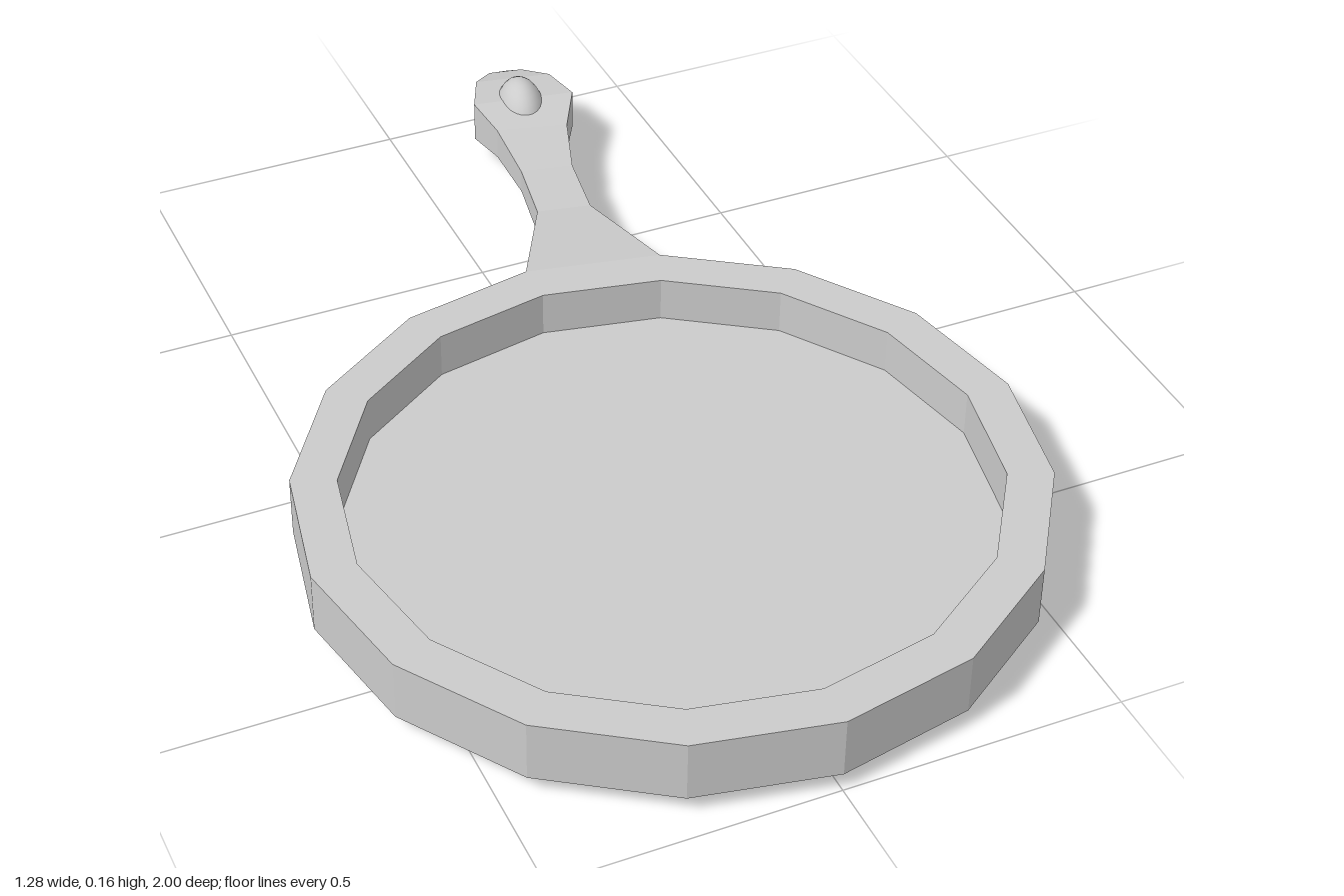
import * as THREE from 'three';

const material = (flatShading) => new THREE.MeshStandardMaterial({ color: 0xcccccc, flatShading });

function part(name, geometry, flat) {
  const mesh = new THREE.Mesh(geometry, material(flat));
  mesh.name = name;
  return mesh;
}

// Joins four-cornered cross-sections into a faceted, capped solid
function loft(sections) {
  const out = [];
  const quad = (a, b, c, d) => out.push(...a, ...b, ...c, ...a, ...c, ...d);
  const rings = sections.map(([lx, lz, rx, rz, y0, y1]) => [
    [lx, y0, lz], [rx, y0, rz], [rx, y1, rz], [lx, y1, lz],
  ]);
  for (let i = 0; i < rings.length - 1; i++) {
    for (let k = 0; k < 4; k++) {
      const n = (k + 1) % 4;
      quad(rings[i][n], rings[i][k], rings[i + 1][k], rings[i + 1][n]);
    }
  }
  quad(...rings[0]);
  quad(...rings[rings.length - 1].slice().reverse());
  const geometry = new THREE.BufferGeometry();
  geometry.setAttribute('position', new THREE.Float32BufferAttribute(out, 3));
  geometry.computeVertexNormals();
  return geometry;
}

export function createModel() {
  const group = new THREE.Group();
  group.name = 'pan';

  // Shallow sixteen-sided dish: base, outer wall, rim, inner wall, floor
  const profile = [
    [0, 0.035], [0.64, 0.035], [0.64, 0.147], [0.56, 0.147], [0.56, 0.063], [0, 0.063],
  ].map(([r, y]) => new THREE.Vector2(r, y));
  const dish = part('dish', new THREE.LatheGeometry(profile, 16), true);
  dish.position.z = 0.36;
  group.add(dish);

  // Handle sections: edge at -x (x, z), edge at +x (x, z), bottom, top
  group.add(part('handle', loft([
    [0, -0.28, 0.245, -0.231, 0.035, 0.147],
    [0.11, -0.49, 0.21, -0.47, 0.066, 0.116],
    [0.135, -0.63, 0.233, -0.61, 0.068, 0.114],
    [0.142, -0.77, 0.275, -0.735, 0.06, 0.122],
    [0.13, -0.86, 0.325, -0.825, 0.052, 0.132],
    [0.17, -0.95, 0.315, -0.92, 0.06, 0.122],
    [0.215, -0.993, 0.28, -0.98, 0.075, 0.107],
    [0.235, -1, 0.255, -0.998, 0.08, 0.1],
  ]), true));

  // Smooth oval stud through the end of the handle
  const stud = part('handleStud', new THREE.SphereGeometry(1, 24, 16), false);
  stud.scale.set(0.05, 0.082, 0.077);
  stud.rotation.y = -0.17;
  stud.position.set(0.227, 0.082, -0.855);
  group.add(stud);

  return group;
}
